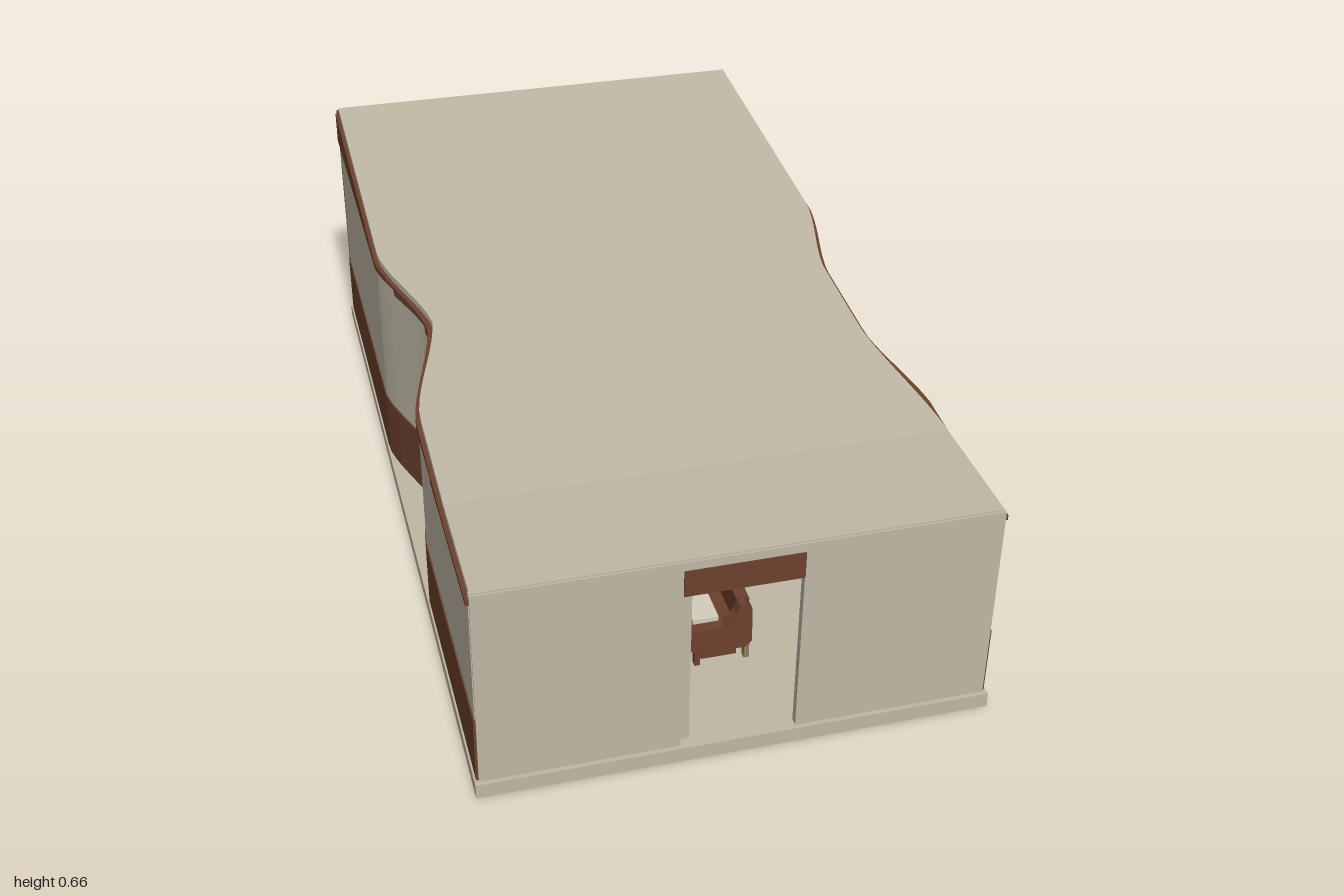
import * as THREE from 'three';

const mat = (name, color) => {
  const m = new THREE.MeshStandardMaterial({ color, side: THREE.DoubleSide });
  m.name = name;
  return m;
};

export function createModel() {
  const concrete = mat('pale concrete', 0xbfb7a5);
  const timber = mat('dark timber', 0x6c402d);
  const glass = mat('blue grey glass', 0x536874);
  const oak = mat('light oak', 0x917a50);
  const fabric = mat('cream fabric', 0xd2ccba);

  const house = new THREE.Group();
  house.name = 'pavilion';

  const add = (name, geometry, material, parent = house) => {
    const mesh = new THREE.Mesh(geometry, material);
    mesh.name = name;
    parent.add(mesh);
    return mesh;
  };
  // Box given by its minimum and maximum corners
  const box = (name, material, x0, x1, y0, y1, z0, z1, parent) => {
    const g = new THREE.BoxGeometry(x1 - x0, y1 - y0, z1 - z0);
    g.translate((x0 + x1) / 2, (y0 + y1) / 2, (z0 + z1) / 2);
    return add(name, g, material, parent);
  };

  // Closed slab lofted along z from rectangular sections
  const loft = (zs, left, right, low, high) => {
    const pos = [];
    const rings = zs.map(z => [
      [left(z), low(z), z], [right(z), low(z), z],
      [right(z), high(z), z], [left(z), high(z), z]]);
    const quad = (a, b, c, d) => pos.push(...a, ...b, ...c, ...a, ...c, ...d);
    for (let i = 0; i < rings.length - 1; i++) {
      for (let k = 0; k < 4; k++) {
        const n = (k + 1) % 4;
        quad(rings[i][k], rings[i][n], rings[i + 1][n], rings[i + 1][k]);
      }
    }
    const [a, b, c, d] = rings[0];
    quad(d, c, b, a);
    quad(...rings[rings.length - 1]);
    const g = new THREE.BufferGeometry();
    g.setAttribute('position', new THREE.Float32BufferAttribute(pos, 3));
    g.computeVertexNormals();
    return g;
  };
  const steps = (z0, z1, size = 0.035) => {
    const n = Math.max(1, Math.ceil((z1 - z0) / size));
    return Array.from({ length: n + 1 }, (_, i) => z0 + (z1 - z0) * i / n);
  };

  // Plan curves: how far each side wall bends inward at z
  const ease = t => {
    t = Math.min(1, Math.max(0, t));
    return 0.5 * t + 0.5 * t * t * (3 - 2 * t);
  };
  const bend = (side, z, frontEnd) => side > 0
    ? 0.05 * ease((z + 0.235) / 0.27) * ease((frontEnd - z) / (frontEnd - 0.3))
    : 0.08 * ease((z + 0.235) / 0.295) * ease((0.39 - z) / 0.33);
  const roofTop = z => 0.515 + 0.145 * Math.max(0, (0.69 - z) / 1.67);
  const roofUnder = z => roofTop(z) - 0.015;

  // Floor slab and roof
  box('floorSlab', concrete, -0.557, 0.557, 0, 0.035, -1, 1);
  const roofEdge = (side, z) => side * (0.546 - bend(side, z, 0.68) * 1.05);
  add('roof', loft([...steps(-0.98, 0.69), 0.985],
    z => roofEdge(-1, z), z => roofEdge(1, z), roofUnder, roofTop), concrete);

  // Side walls: timber base, concrete panels with stepped tops, timber above
  const panels = [[-0.98, -0.235, 0.565], [-0.235, -0.12, 0.562], [-0.12, 0.04, 0.548],
    [0.04, 0.21, 0.533], [0.21, 0.38, 0.515], [0.38, 0.57, 0.5], [0.57, 0.985, 0.488]];
  for (const side of [1, -1]) {
    const wall = new THREE.Group();
    wall.name = side > 0 ? 'leftWall' : 'rightWall';
    house.add(wall);
    const strip = (name, material, z0, z1, low, high, out) => {
      const outer = z => side * (out - bend(side, z, 0.57));
      const inner = z => outer(z) - side * 0.016;
      add(name, loft(steps(z0, z1), side > 0 ? inner : outer,
        side > 0 ? outer : inner, low, high), material, wall);
    };
    strip('baseBand', timber, -0.98, 0.985, () => 0.035, () => 0.2, 0.553);
    for (const [z0, z1, top] of panels) {
      strip('wallPanel', concrete, z0, z1, () => 0.2, () => top, 0.55);
      strip('eavesBand', timber, z0, z1, z => Math.min(top, roofUnder(z) - 0.004), roofUnder, 0.555);
    }
  }

  // Front wall with doorway
  for (const s of [-1, 1]) {
    box('frontWall', concrete, s > 0 ? 0.125 : -0.548, s > 0 ? 0.548 : -0.125, 0.035, 0.492, 0.972, 0.99);
  }
  box('doorHeader', timber, -0.125, 0.125, 0.43, 0.492, 0.972, 0.993);
  box('frontFascia', concrete, -0.548, 0.548, 0.492, 0.512, 0.972, 0.99);
  box('hallPartition', concrete, -0.125, -0.102, 0.035, 0.43, 0.45, 0.972);

  // Glazed back wall
  box('backSill', timber, -0.55, 0.55, 0.035, 0.11, -0.997, -0.975);
  box('backHeader', timber, -0.55, 0.55, 0.595, 0.648, -0.997, -0.975);
  box('backGlass', glass, -0.54, 0.54, 0.11, 0.595, -0.987, -0.981);
  for (const x of [-0.54, 0, 0.54]) {
    box('mullion', oak, x - 0.01, x + 0.01, 0.11, 0.595, -0.994, -0.972);
  }

  // Table in the hall
  const table = new THREE.Group();
  table.name = 'table';
  house.add(table);
  box('tableTop', timber, -0.1, 0.112, 0.152, 0.161, 0.2, 0.5, table);
  for (const x of [-0.094, 0.094]) {
    for (const z of [0.215, 0.485]) {
      box('tableLeg', oak, x - 0.006, x + 0.006, 0.035, 0.152, z - 0.006, z + 0.006, table);
    }
  }

  // Armchair seen side on: two shaped sides, seat, back and feet
  const chair = new THREE.Group();
  chair.name = 'armchair';
  house.add(chair);
  const profile = new THREE.Shape([
    [-0.025, 0.07], [-0.043, 0.085], [-0.045, 0.12], [-0.033, 0.135], [0.035, 0.135],
    [0.062, 0.165], [0.07, 0.188], [0.085, 0.19], [0.098, 0.175], [0.1, 0.085], [0.085, 0.07],
  ].map(p => new THREE.Vector2(...p)));
  for (const z of [0.59, 0.74]) {
    const g = new THREE.ExtrudeGeometry(profile, { depth: 0.025, bevelEnabled: false });
    g.translate(0, 0, z);
    add('chairSide', g, timber, chair);
    for (const x of [-0.022, 0.09]) {
      box('chairFoot', x > 0 ? oak : timber, x - 0.006, x + 0.006, 0.035, 0.075, z + 0.004, z + 0.02, chair);
    }
  }
  box('chairRail', timber, -0.012, 0.068, 0.047, 0.075, 0.6, 0.755, chair);
  box('chairSeat', timber, -0.04, 0.09, 0.075, 0.115, 0.615, 0.74, chair);
  box('chairCushion', fabric, -0.028, 0.03, 0.115, 0.146, 0.615, 0.74, chair);
  box('chairBack', timber, 0.07, 0.098, 0.1, 0.185, 0.615, 0.74, chair);

  return house;
}
